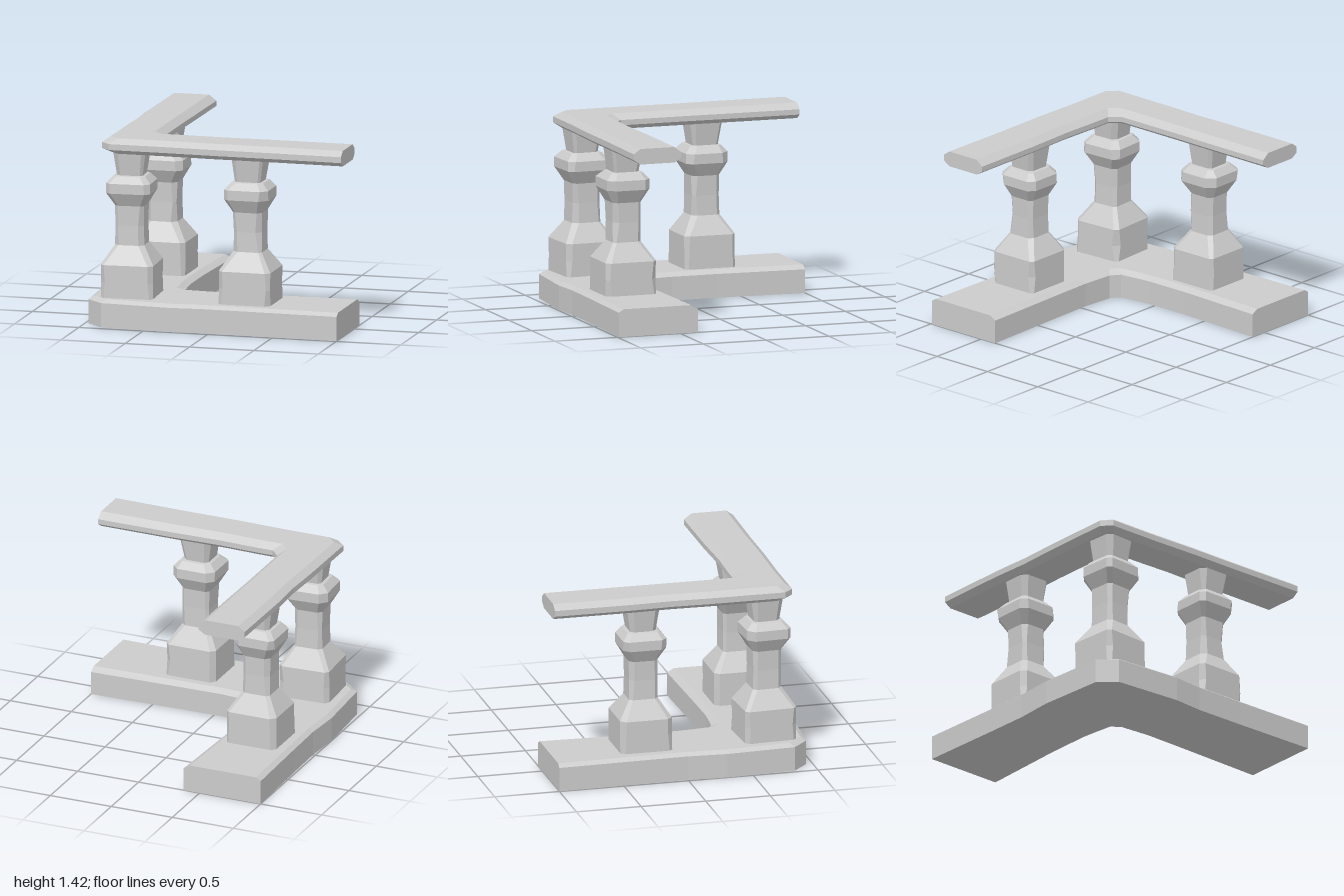
import * as THREE from 'three';

const stone = new THREE.MeshStandardMaterial({ color: 0xcccccc, flatShading: true });

// Small seeded generator for the worn edges
function makeRandom(seed) {
  let s = seed;
  return () => (s = (s * 16807) % 2147483647) / 2147483647;
}

// Joins convex cross-sections (counter-clockwise seen from the far end) and caps both ends
function loft(name, rings) {
  const pos = [];
  const tri = (a, b, c) => pos.push(...a, ...b, ...c);
  const n = rings[0].length;
  for (let i = 0; i < rings.length - 1; i++) {
    for (let j = 0; j < n; j++) {
      const k = (j + 1) % n;
      tri(rings[i][j], rings[i][k], rings[i + 1][k]);
      tri(rings[i][j], rings[i + 1][k], rings[i + 1][j]);
    }
  }
  const first = rings[0], last = rings[rings.length - 1];
  for (let j = 1; j < n - 1; j++) {
    tri(first[0], first[j + 1], first[j]);
    tri(last[0], last[j], last[j + 1]);
  }
  const geo = new THREE.BufferGeometry();
  geo.setAttribute('position', new THREE.Float32BufferAttribute(pos, 3));
  geo.computeVertexNormals();
  const mesh = new THREE.Mesh(geo, stone);
  mesh.name = name;
  return mesh;
}

// L-shaped slab: stations are [outerX, outerZ, innerX, innerZ],
// the section is [fraction from outer to inner edge, height]
function cornerSlab(name, stations, section) {
  return loft(name, stations.map(([ox, oz, ix, iz]) =>
    section.map(([t, y]) => [ox + (ix - ox) * t, y, oz + (iz - oz) * t])));
}

// Square baluster with worn, bevelled corners: [height, half width, bevel]
const PROFILE = [
  [0.20, 0.200, 0.03], [0.33, 0.200, 0.035], [0.46, 0.200, 0.03],
  [0.60, 0.112, 0.03], [0.75, 0.108, 0.03], [0.90, 0.112, 0.03],
  [1.00, 0.168, 0.045], [1.075, 0.168, 0.045], [1.125, 0.122, 0.03],
  [1.13, 0.100, 0.025], [1.305, 0.125, 0.03],
];

function baluster(name, x, z, turn, seed) {
  const random = makeRandom(seed);
  const rings = PROFILE.map(([y, h, bevel]) => {
    const ring = [];
    for (let q = 0; q < 4; q++) {
      const b = bevel * (0.7 + 0.7 * random());
      const c = Math.round(Math.cos(q * Math.PI / 2)), s = Math.round(Math.sin(q * Math.PI / 2));
      for (const [u, v] of [[h, h - b], [h - b, h]]) {
        ring.push([u * c - v * s, y, -(u * s + v * c)]);
      }
    }
    return ring;
  });
  const mesh = loft(name, rings);
  mesh.position.set(x, 0, z);
  mesh.rotation.y = turn;
  return mesh;
}

export function createModel() {
  const group = new THREE.Group();
  group.name = 'cornerBalustrade';

  // Plinth with bevelled top edges
  group.add(cornerSlab('plinth', [
    [-1.00, -1.00, -0.37, -1.00],
    [-0.985, -0.35, -0.40, -0.30],
    [-0.98, 0.00, -0.40, 0.05],
    [-1.00, 0.30, -0.39, 0.15],
    [-0.97, 0.83, -0.37, 0.31],
    [-0.84, 0.95, -0.30, 0.36],
    [-0.30, 0.99, -0.18, 0.37],
    [-0.06, 0.97, -0.05, 0.38],
    [0.32, 0.975, 0.32, 0.375],
    [1.00, 0.99, 1.00, 0.36],
  ], [[1, 0], [1, 0.18], [0.92, 0.21], [0.06, 0.21], [0, 0.185], [0, 0]]));

  // Handrail with an eight-sided section
  group.add(cornerSlab('handrail', [
    [-0.87, -1.00, -0.49, -1.00],
    [-0.875, -0.40, -0.495, -0.40],
    [-0.865, -0.10, -0.50, -0.10],
    [-0.875, 0.20, -0.50, 0.20],
    [-0.88, 0.78, -0.50, 0.42],
    [-0.81, 0.85, -0.43, 0.49],
    [-0.40, 0.85, -0.30, 0.49],
    [0.00, 0.86, 0.00, 0.50],
    [0.40, 0.86, 0.40, 0.49],
    [1.00, 0.87, 1.00, 0.49],
  ], [[0.86, 1.30], [1, 1.335], [1, 1.375], [0.85, 1.418],
    [0.14, 1.418], [0, 1.38], [0, 1.335], [0.14, 1.30]]));

  // Balusters
  group.add(
    baluster('cornerBaluster', -0.68, 0.665, 0.05, 11),
    baluster('frontBaluster', 0.245, 0.68, 0, 523),
    baluster('sideBaluster', -0.685, -0.29, 0, 9173),
  );
  return group;
}
